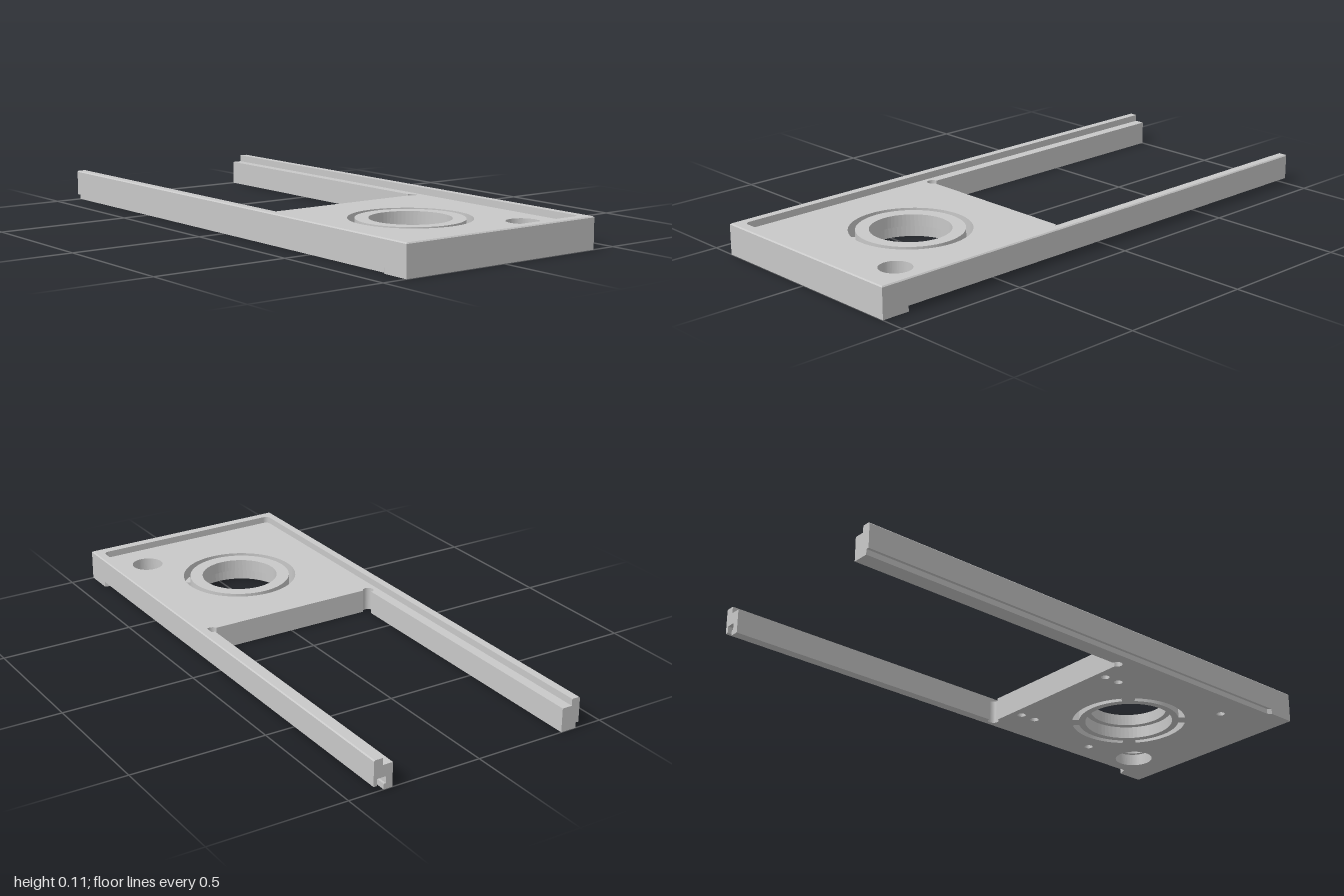
import * as THREE from 'three';

const HALF = 0.408;                 // half width of the frame
const RAIL = 0.337;                 // inner face of the rails
const JOIN = 0.15;                  // where the rails meet the plate
const RELIEF = 0.02;                // radius of the corner cut-outs
const RING = { x: 0.54, bore: 0.143, counterbore: 0.165, inner: 0.19, outer: 0.215 };
const PORT = { x: 0.82, y: 0.255, r: 0.058, counterbore: 0.072 };

export function createModel() {
  const model = new THREE.Group();
  const grey = new THREE.MeshStandardMaterial({ color: 0xc8c8c8 });
  grey.name = 'plain grey';

  const circle = (x, y, r) => new THREE.Path().absarc(x, y, r, 0, Math.PI * 2, false);

  // Extrudes plan shapes (x, -z) upwards between two heights
  function layer(name, shapes, y0, y1) {
    const geo = new THREE.ExtrudeGeometry(shapes, {
      depth: y1 - y0, curveSegments: 32, bevelEnabled: false,
    });
    geo.rotateX(-Math.PI / 2);
    geo.translate(0, y0, 0);
    const mesh = new THREE.Mesh(geo, grey);
    mesh.name = name;
    model.add(mesh);
    return mesh;
  }

  // Rail plan; side is 1 for the back, -1 for the front, outer runs from tip to plate
  function rail(side, outer) {
    const s = new THREE.Shape();
    s.moveTo(-1, side * RAIL);
    outer.forEach(([x, y]) => s.lineTo(x, side * y));
    s.absarc(JOIN, side * RAIL, RELIEF, side * Math.PI / 2, side * Math.PI, side < 0);
    s.closePath();
    return s;
  }

  // Plate plan; back and front list the long edges from the rails to the far end
  function plate(back, front, portRadius) {
    const s = new THREE.Shape();
    s.moveTo(JOIN, RAIL + RELIEF);
    back.forEach(([x, y]) => s.lineTo(x, y));
    [...front].reverse().forEach(([x, y]) => s.lineTo(x, -y));
    s.absarc(JOIN, -RAIL, RELIEF, -Math.PI / 2, 1.3, false);
    s.absarc(JOIN, RAIL, RELIEF, -1.3, Math.PI / 2, false);
    s.closePath();
    s.holes.push(circle(PORT.x, PORT.y, portRadius));
    return s;
  }

  // Four curved slots around the bore, leaving diagonal bridges
  function addRingSlots(s) {
    s.holes.push(circle(RING.x, 0, RING.counterbore));
    for (let i = 0; i < 4; i++) {
      const a = i * Math.PI / 2 - Math.PI / 4 + 0.12;
      const b = a + Math.PI / 2 - 0.24;
      const p = new THREE.Path();
      p.absarc(RING.x, 0, RING.outer, a, b, false);
      p.absarc(RING.x, 0, RING.inner, b, a, true);
      s.holes.push(p);
    }
    return s;
  }

  // Long edges, straight or stepped in by a recess that ends near the far end
  const straightRail = [[-1, HALF], [JOIN, HALF]];
  const straightPlate = [[JOIN, HALF], [1, HALF]];
  const recessRail = y => [[-1, y], [JOIN, y]];
  const recessPlate = y => [[JOIN, y], [0.88, y], [0.895, HALF], [1, HALF]];

  // Bottom layer, recessed along both long sides, with blind screw holes
  const base = addRingSlots(plate(recessPlate(0.37), recessPlate(0.397), PORT.counterbore));
  [[0.6, 0.285], [0.26, 0.225], [0.195, 0.225], [0.75, -0.28], [0.26, -0.23], [0.195, -0.23]]
    .forEach(([x, y]) => base.holes.push(circle(x, y, 0.016)));
  layer('base', [base, rail(1, recessRail(0.37)), rail(-1, recessRail(0.397))], 0, 0.02);

  // Core layer with an undercut groove behind the back lip
  const core = addRingSlots(plate(
    [[JOIN, 0.362], [0.88, 0.362], [0.88, 0.396], [JOIN, 0.396], [JOIN, HALF], [1, HALF]],
    straightPlate, PORT.counterbore));
  layer('groovedCore', [core, rail(-1, straightRail),
    rail(1, [[-1, 0.362], [JOIN, 0.362]])], 0.02, 0.045);
  const lip = new THREE.Shape();
  [[-1, 0.396], [JOIN, 0.396], [JOIN, HALF], [-1, HALF]]
    .forEach(([x, y], i) => (i ? lip.lineTo(x, y) : lip.moveTo(x, y)));
  layer('backLip', lip, 0.02, 0.045);

  // Deck with an opening for the bearing ring
  const deck = plate(straightPlate, straightPlate, PORT.r);
  deck.holes.push(circle(RING.x, 0, RING.outer));
  layer('deck', [deck, rail(1, straightRail), rail(-1, straightRail)], 0.045, 0.088);

  const ring = new THREE.Shape();
  ring.absarc(RING.x, 0, RING.inner, 0, Math.PI * 2, false);
  ring.holes.push(circle(RING.x, 0, RING.bore));
  layer('bearingRing', ring, 0.045, 0.088);

  // Raised rim round three sides, rounded at its inside corners
  const rim = new THREE.Shape();
  const inZ = 0.375, inX = 0.962, r = 0.02;
  rim.moveTo(-1, HALF);
  rim.lineTo(-1, inZ);
  rim.absarc(inX - r, inZ - r, r, Math.PI / 2, 0, true);
  rim.absarc(inX - r, -inZ + r, r, 0, -Math.PI / 2, true);
  rim.lineTo(-1, -inZ);
  rim.lineTo(-1, -HALF);
  rim.lineTo(1, -HALF);
  rim.lineTo(1, HALF);
  rim.closePath();
  layer('rim', rim, 0.088, 0.109);

  // Small chamfer on the rim's outer top edge
  const { geometry } = layer('rimChamfer', rim, 0.109, 0.113);
  const pos = geometry.attributes.position;
  for (let i = 0; i < pos.count; i++) {
    if (pos.getY(i) < 0.111) continue;
    const x = pos.getX(i), z = pos.getZ(i);
    if (x > 0.99) pos.setX(i, x - 0.004);
    if (Math.abs(z) > 0.4) pos.setZ(i, z - Math.sign(z) * 0.004);
  }
  geometry.computeVertexNormals();

  return model;
}
